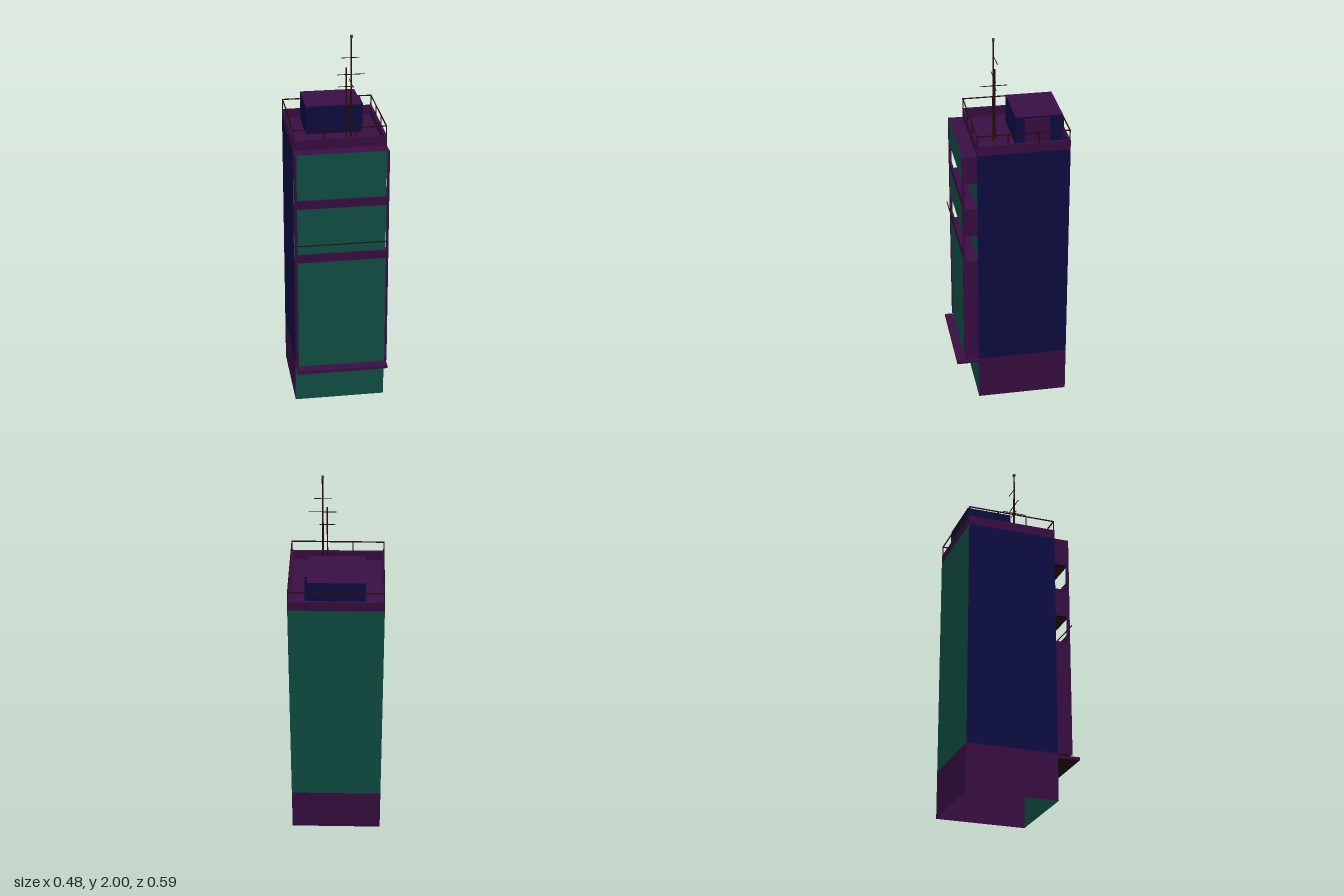
import * as THREE from 'three';

function mat(name, color, side = THREE.FrontSide) {
  const m = new THREE.MeshStandardMaterial({ color, side });
  m.name = name;
  return m;
}

export function createModel() {
  const root = new THREE.Group();
  root.name = 'towerBlock';
  const D = THREE.DoubleSide;
  const green = mat('deepGreen', 0x105146, D);
  const purple = mat('darkPurple', 0x390e43, D);
  const navy = mat('navy', 0x0d0d43, D);
  const brown = mat('darkBrown', 0x280b0b, D);

  // Box given by its limits; material may be an array in order +x -x +y -y +z -z
  function block(name, material, [x0, x1], [y0, y1], [z0, z1], parent = root) {
    const m = new THREE.Mesh(new THREE.BoxGeometry(x1 - x0, y1 - y0, z1 - z0), material);
    m.position.set((x0 + x1) / 2, (y0 + y1) / 2, (z0 + z1) / 2);
    m.name = name;
    parent.add(m);
    return m;
  }
  // Flat wall standing at the given place, turned about y
  function wall(name, material, width, y0, y1, x, z, turn) {
    const m = new THREE.Mesh(new THREE.PlaneGeometry(width, y1 - y0), material);
    m.position.set(x, (y0 + y1) / 2, z);
    m.rotation.y = turn;
    m.name = name;
    root.add(m);
  }
  // Thin bar between two points
  function bar(name, a, b, t, parent) {
    const r = t / 2;
    const lim = (i) => [Math.min(a[i], b[i]) - r, Math.max(a[i], b[i]) + r];
    return block(name, brown, lim(0), lim(1), lim(2), parent);
  }

  const W = 0.24, BACK = -0.295, FRONT = 0.18, BASE = 0.245, TOP = 1.45;
  const depth = FRONT - BACK, midZ = (FRONT + BACK) / 2;

  // Hollow tower shell, open underneath
  wall('frontWall', green, 2 * W, 0, TOP, 0, FRONT, 0);
  wall('backBaseWall', purple, 2 * W, 0, BASE, 0, BACK, Math.PI);
  wall('backWall', green, 2 * W, BASE, TOP, 0, BACK, Math.PI);
  for (const s of [1, -1]) {
    wall('sideBaseWall', purple, depth, 0, BASE, s * W, midZ, s * Math.PI / 2);
    wall('sideWall', navy, depth, BASE, TOP, s * W, midZ, s * Math.PI / 2);
  }
  const roof = new THREE.Mesh(new THREE.PlaneGeometry(2 * W, depth), purple);
  roof.rotation.x = -Math.PI / 2;
  roof.position.set(0, TOP, midZ);
  roof.name = 'roof';
  root.add(roof);

  // Roof parapet
  const T = 0.012, P = 1.5;
  for (const s of [1, -1]) {
    const x = [s * W, s * (W - T)].sort((a, b) => a - b);
    block('sideParapet', purple, x, [TOP, P], [BACK, FRONT]);
  }
  block('frontParapet', purple, [-W + T, W - T], [TOP, P], [FRONT - T, FRONT]);
  block('backParapet', purple, [-W + T, W - T], [TOP, P], [BACK, BACK + T]);

  // Roof railing
  const railing = new THREE.Group();
  railing.name = 'roofRailing';
  root.add(railing);
  const rx = 0.236, rz0 = -0.291, rz1 = 0.177, ry = 1.554, rt = 0.005;
  for (const z of [rz0, rz1]) {
    bar('topRail', [-rx, ry, z], [rx, ry, z], rt, railing);
    for (let i = 0; i <= 3; i++) {
      const x = -rx + (2 * rx * i) / 3;
      bar('railPost', [x, P, z], [x, ry, z], rt, railing);
    }
  }
  for (const x of [-rx, rx]) {
    bar('topRail', [x, ry, rz0], [x, ry, rz1], rt, railing);
    for (let i = 1; i < 3; i++) {
      const z = rz0 + ((rz1 - rz0) * i) / 3;
      bar('railPost', [x, P, z], [x, ry, z], rt, railing);
    }
  }

  // Projecting front bays with green faces and balconies between them
  const bayFaces = [purple, purple, purple, brown, purple, purple];
  for (const [y0, y1] of [[BASE, 0.855], [1.0, 1.155], [1.3, TOP]]) {
    block('frontBay', bayFaces, [-W, W], [y0, y1], [FRONT, 0.246]);
    block('bayPanel', [green, green, purple, brown, green, green],
      [-0.23, 0.23], [y0, y1], [0.246, 0.252]);
  }
  for (const y of [0.855, 1.155]) {
    block('balconyParapet', purple, [-0.23, 0.23], [y, y + 0.045], [0.243, 0.253]);
  }
  for (const s of [1, -1]) {
    const x = [s * 0.23, s * 0.2415].sort((a, b) => a - b);
    block('frontPost', purple, x, [BASE, TOP], [0.243, 0.257]);
  }
  bar('balconyRail', [-0.228, 0.96, 0.273], [0.228, 0.96, 0.273], 0.004, root);

  // Entrance canopy
  block('canopy', bayFaces, [-W, W], [0.222, 0.238], [FRONT, 0.296]);

  // Rooftop plant room and its side housing
  const roomFaces = [navy, navy, purple, navy, navy, navy];
  block('plantRoom', roomFaces, [-0.145, 0.143], [TOP, 1.6], [-0.274, -0.033]);
  block('sideHousing', [purple, navy, purple, navy, navy, navy],
    [0.143, 0.157], [TOP, 1.59], [-0.205, -0.075]);

  // Antenna masts with crossbars
  const antenna = new THREE.Group();
  antenna.name = 'antenna';
  root.add(antenna);
  function mast(x, z, top, r) {
    const m = new THREE.Mesh(new THREE.CylinderGeometry(r * 0.8, r, top - TOP, 8), brown);
    m.position.set(x, (TOP + top) / 2, z);
    m.name = 'mast';
    antenna.add(m);
  }
  mast(0.073, 0.067, 1.99, 0.005);
  mast(0.05, 0.056, 1.83, 0.004);
  const bars = [
    [[0.028, 1.88, 0.054], [0.115, 1.88, 0.054]],
    [[0.006, 1.797, 0.067], [0.142, 1.797, 0.067]],
    [[0.012, 1.73, 0.056], [0.088, 1.73, 0.056]],
    [[0.073, 1.75, 0.001], [0.073, 1.75, 0.136]],
    [[0.071, 1.61, -0.019], [0.071, 1.61, 0.13]],
  ];
  for (const [a, b] of bars) bar('crossbar', a, b, 0.003, antenna);
  block('mastTip', green, [0.067, 0.079], [1.988, 2.0], [0.061, 0.073], antenna);

  return root;
}
